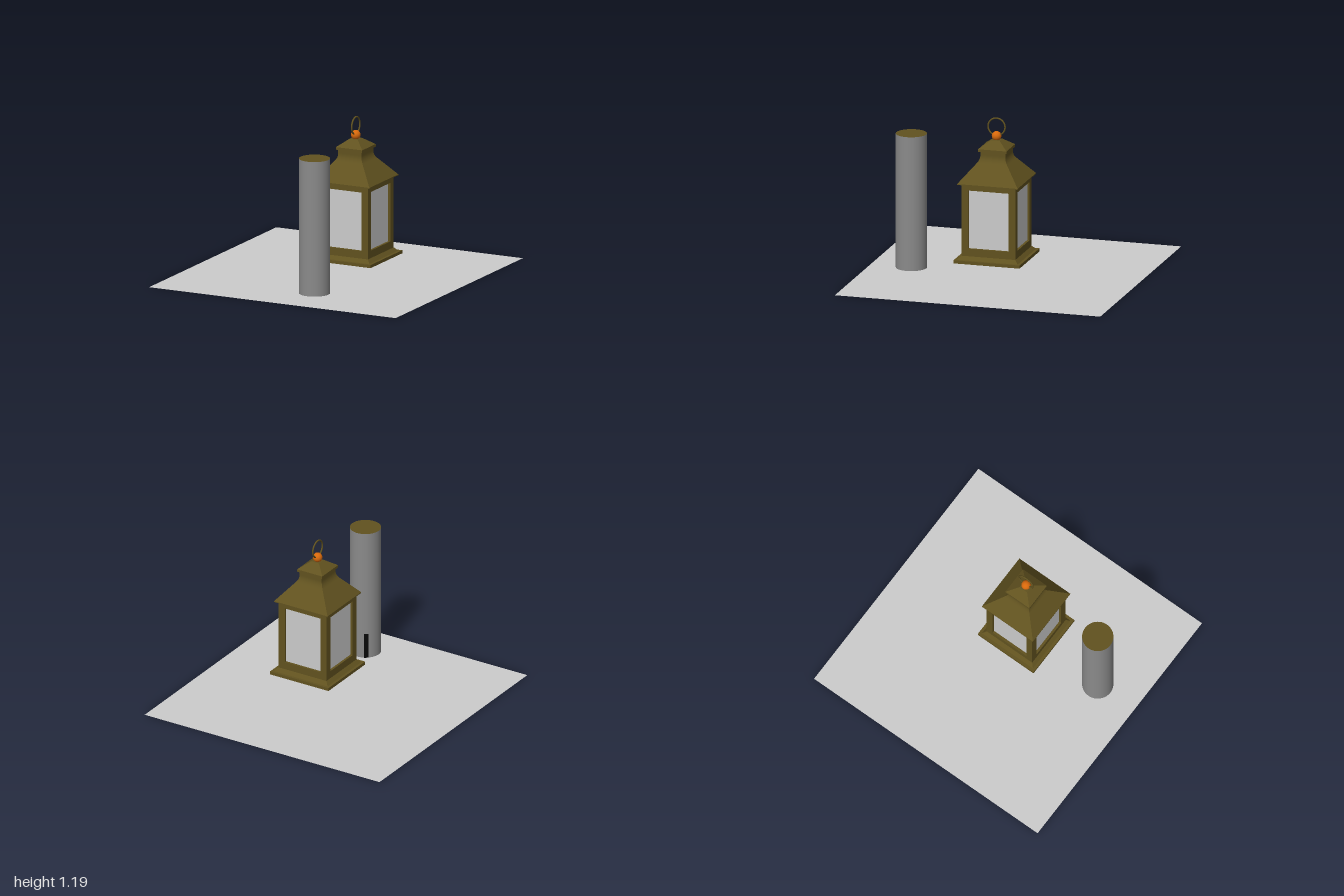
import * as THREE from 'three';

const mat = (color, extra = {}) => new THREE.MeshStandardMaterial({ color, ...extra });

function add(parent, name, geometry, material, x = 0, y = 0, z = 0) {
  const mesh = new THREE.Mesh(geometry, material);
  mesh.name = name;
  mesh.position.set(x, y, z);
  parent.add(mesh);
  return mesh;
}

// Square solid from [half width, height] pairs, bottom to top
function squareLathe(profile) {
  const points = profile.map(([h, y]) => new THREE.Vector2(h * Math.SQRT2, y));
  return new THREE.LatheGeometry(points, 4, Math.PI / 4);
}

export function createModel() {
  const model = new THREE.Group();
  const grey = mat(0xcccccc);
  const bronze = mat(0x61521f);
  const bronzeFlat = mat(0x61521f, { flatShading: true });
  const stone = mat(0x8a8a8a);
  const black = mat(0x080808);
  const orange = mat(0xd8690c);

  // Ground sheet
  const floor = add(model, 'floor', new THREE.PlaneGeometry(2, 2),
    mat(0xcccccc, { side: THREE.DoubleSide }));
  floor.rotation.x = -Math.PI / 2;

  // Round pillar with bronze ends
  const pillar = new THREE.Group();
  pillar.name = 'pillar';
  pillar.position.set(0.174, 0.02, 0.675);
  model.add(pillar);
  add(pillar, 'pillarBody', new THREE.CylinderGeometry(0.113, 0.113, 1, 48),
    [stone, bronze, bronze], 0, 0.5, 0);
  // Narrow dark slot at the foot of the pillar
  const slot = add(pillar, 'pillarSlot', new THREE.BoxGeometry(0.03, 0.19, 0.006), black,
    -0.57 * 0.112, 0.095, -0.82 * 0.112);
  slot.rotation.y = Math.atan2(0.57, 0.82);

  // Lantern
  const lantern = new THREE.Group();
  lantern.name = 'lantern';
  lantern.position.set(0.177, 0, 0.032);
  model.add(lantern);

  // Stepped base with a chamfer
  add(lantern, 'base', squareLathe([
    [0, 0.145], [0.249, 0.145], [0.249, 0.168], [0.228, 0.168], [0.203, 0.194], [0, 0.194],
  ]), bronzeFlat);

  // Corner posts
  for (const sx of [-1, 1]) for (const sz of [-1, 1]) {
    add(lantern, 'cornerPost', new THREE.BoxGeometry(0.052, 0.54, 0.052), bronze,
      sx * 0.177, 0.461, sz * 0.177);
  }

  // Each side: lower rail, upper rail and recessed pane
  for (let i = 0; i < 4; i++) {
    const side = new THREE.Group();
    side.name = 'lanternSide';
    side.rotation.y = i * Math.PI / 2;
    lantern.add(side);
    add(side, 'lowerRail', new THREE.BoxGeometry(0.302, 0.06, 0.052), bronze, 0, 0.22, 0.177);
    add(side, 'upperRail', new THREE.BoxGeometry(0.302, 0.05, 0.052), bronze, 0, 0.71, 0.177);
    add(side, 'pane', new THREE.BoxGeometry(0.302, 0.436, 0.012), grey, 0, 0.467, 0.179);
  }

  // Sloping roof sweeping up into a straight neck
  const neck = new THREE.QuadraticBezierCurve(
    new THREE.Vector2(0.114, 0.87), new THREE.Vector2(0.094, 0.894), new THREE.Vector2(0.094, 0.925));
  add(lantern, 'roof', squareLathe([
    [0, 0.727], [0.228, 0.727], [0.228, 0.734],
    ...neck.getPoints(8).map((p) => [p.x, p.y]), [0.094, 0.957], [0, 0.957],
  ]), bronzeFlat);

  // Cap
  add(lantern, 'cap', squareLathe([
    [0, 0.953], [0.107, 0.953], [0.107, 0.972], [0.034, 1.026], [0, 1.026],
  ]), bronzeFlat);

  // Ball finial and carrying ring
  add(lantern, 'finial', new THREE.SphereGeometry(0.035, 24, 16), orange, 0, 1.053, 0);
  const ring = add(lantern, 'ring', new THREE.TorusGeometry(0.064, 0.006, 10, 48), bronze, 0, 1.121, 0);
  ring.rotation.y = Math.PI / 2;

  return model;
}
